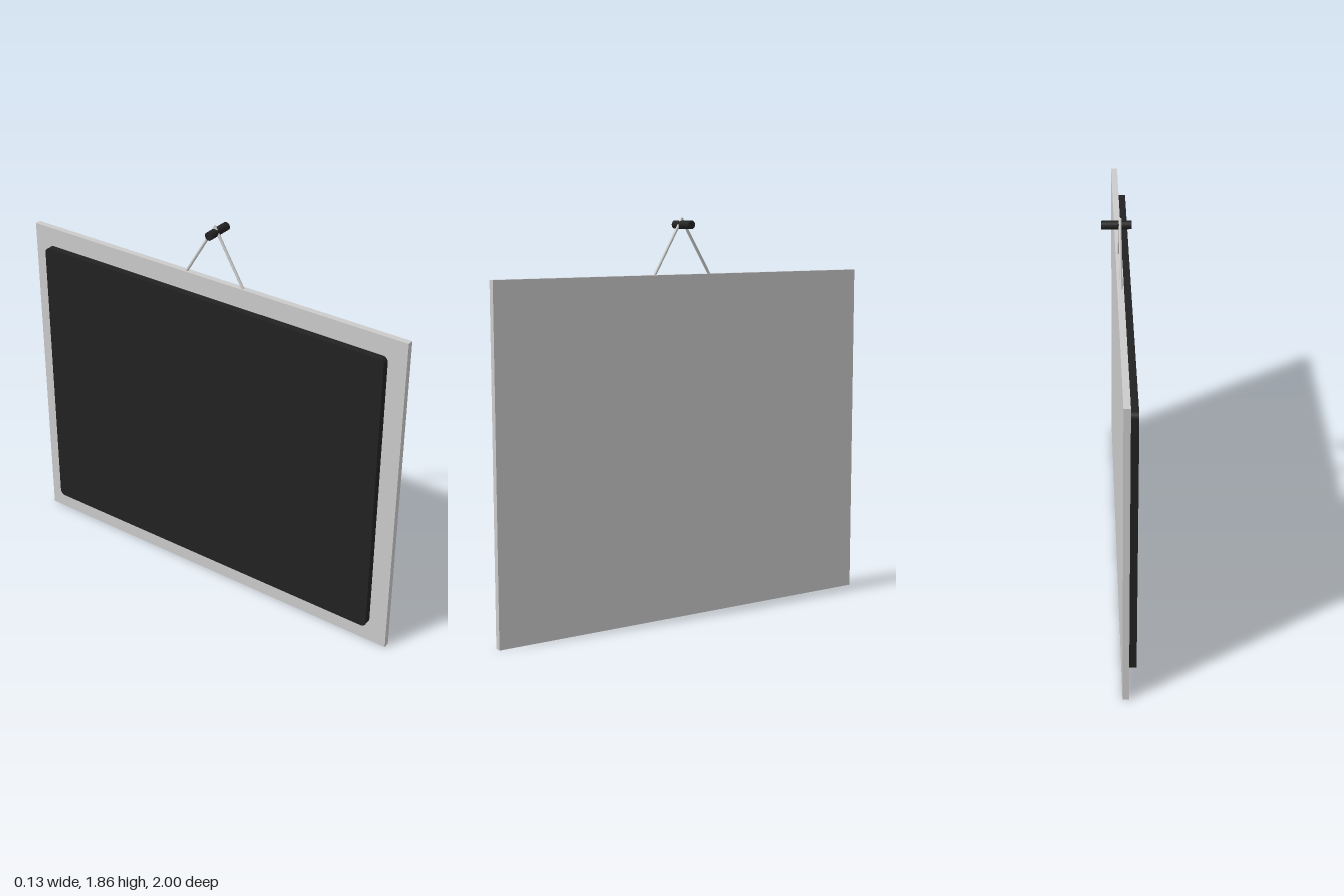
import * as THREE from 'three';

const grey = new THREE.MeshStandardMaterial({ color: 0xcccccc });
const black = new THREE.MeshStandardMaterial({ color: 0x222222 });

function add(group, name, geometry, material, x, y, z) {
  const mesh = new THREE.Mesh(geometry, material);
  mesh.name = name;
  mesh.position.set(x, y, z);
  group.add(mesh);
  return mesh;
}

// Rectangle outline with rounded corners, centred on the origin
function roundedRect(w, h, r) {
  const s = new THREE.Shape();
  const x = w / 2 - r, y = h / 2 - r;
  s.absarc(x, y, r, 0, Math.PI / 2);
  s.absarc(-x, y, r, Math.PI / 2, Math.PI);
  s.absarc(-x, -y, r, Math.PI, Math.PI * 1.5);
  s.absarc(x, -y, r, Math.PI * 1.5, Math.PI * 2);
  s.closePath();
  return s;
}

export function createModel() {
  const model = new THREE.Group();
  model.name = 'hangingBoard';

  // Flat board standing in the yz plane
  add(model, 'board', new THREE.BoxGeometry(0.029, 1.6, 2), grey, -0.0145, 0.8, 0);

  // Dark backing panel with rounded corners
  const panel = new THREE.ExtrudeGeometry(roundedRect(1.83, 1.41, 0.025), {
    depth: 0.034, bevelEnabled: false, curveSegments: 5,
  });
  panel.rotateY(-Math.PI / 2);
  add(model, 'backPanel', panel, black, -0.031, 0.805, -0.003);

  // Two cords rising from the top edge to a common peak
  const peak = new THREE.Vector3(-0.016, 1.851, 0.028);
  for (const [name, z] of [['frontCord', 0.178], ['backCord', -0.126]]) {
    const foot = new THREE.Vector3(-0.016, 1.597, z);
    const dir = peak.clone().sub(foot);
    const mid = foot.clone().addScaledVector(dir, 0.5);
    const cord = add(model, name,
      new THREE.CylinderGeometry(0.0065, 0.0065, dir.length() + 0.008, 12), grey, mid.x, mid.y, mid.z);
    cord.quaternion.setFromUnitVectors(new THREE.Vector3(0, 1, 0), dir.normalize());
  }

  // Peg that carries the cords
  const peg = new THREE.CylinderGeometry(0.019, 0.019, 0.132, 20);
  peg.rotateZ(Math.PI / 2);
  add(model, 'peg', peg, black, 0, 1.825, 0.03);

  return model;
}
